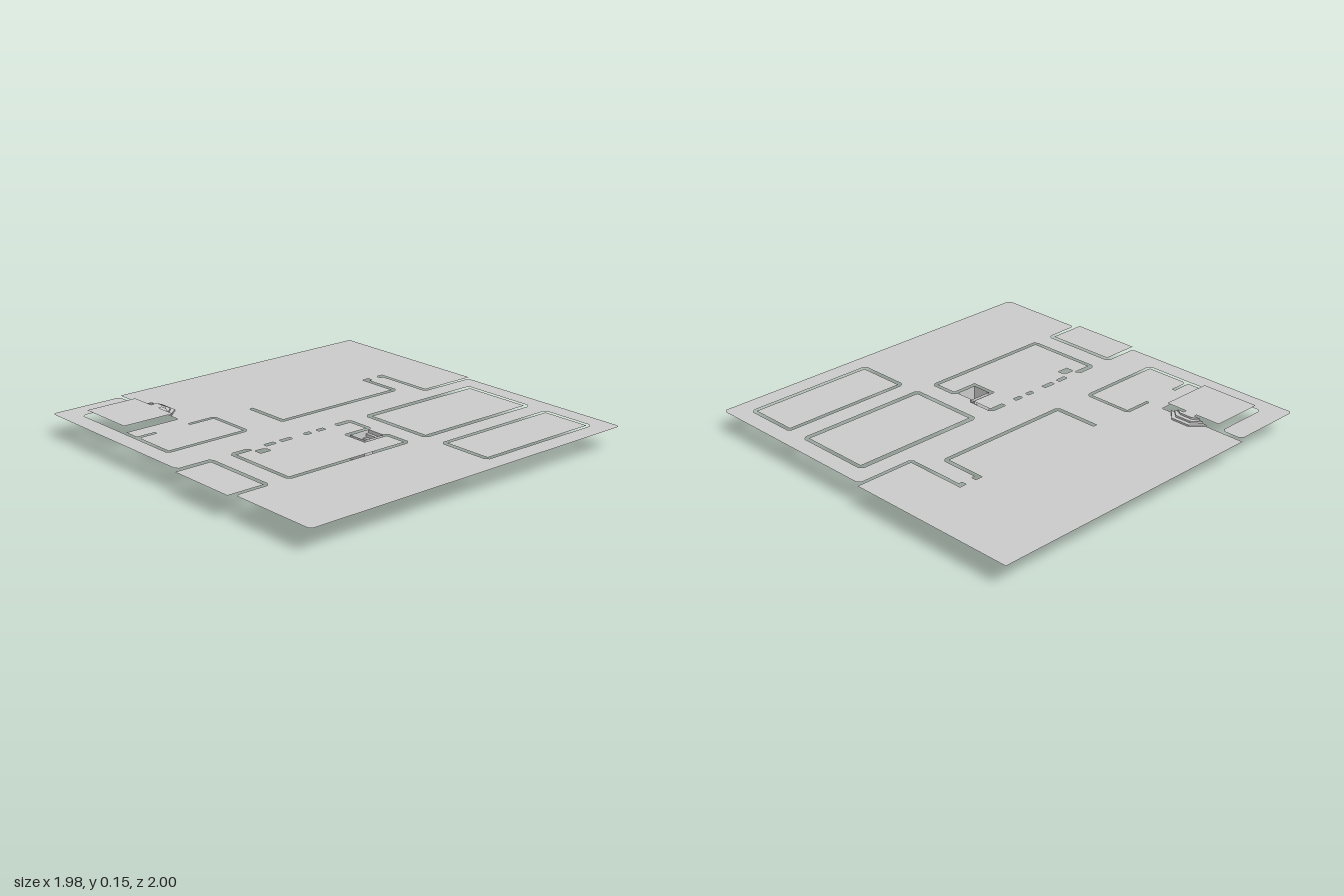
import * as THREE from 'three';

const FLOOR = 0.122, ROOM = 0.15;
const material = new THREE.MeshStandardMaterial({ color: 0xcccccc, side: THREE.DoubleSide, flatShading: true });

const toPoints = (list) => list.map(([x, z]) => new THREE.Vector2(x, -z));
const rect = (x0, z0, x1, z1) => [[x0, z0], [x1, z0], [x1, z1], [x0, z1]];
// rectangle with cut corners
const chamfered = (x0, z0, x1, z1, c = 0.017) => [
  [x0 + c, z0], [x1 - c, z0], [x1, z0 + c], [x1, z1 - c],
  [x1 - c, z1], [x0 + c, z1], [x0, z1 - c], [x0, z0 + c],
];

function add(group, name, geometry) {
  const mesh = new THREE.Mesh(geometry, material);
  mesh.name = name;
  group.add(mesh);
}

// horizontal sheet from x,z outlines
function sheet(outline, y, holes = []) {
  const shape = new THREE.Shape(toPoints(outline));
  shape.holes = holes.map((h) => new THREE.Path(toPoints(h)));
  return new THREE.ShapeGeometry(shape).rotateX(-Math.PI / 2).translate(0, y, 0);
}

// surface from four-cornered faces
function quads(list) {
  const pos = [];
  for (const [a, b, c, d] of list) pos.push(...a, ...b, ...c, ...a, ...c, ...d);
  const g = new THREE.BufferGeometry();
  g.setAttribute('position', new THREE.Float32BufferAttribute(pos, 3));
  g.computeVertexNormals();
  return g;
}

function mainFloor() {
  const outline = [
    // back edge and the wall gap entering from the back
    [-0.992, -1], [-0.05, -1], [-0.05, -0.682], [-0.378, -0.682], [-0.378, -0.645], [-0.352, -0.645],
    [-0.352, -0.665], [-0.05, -0.665], [-0.034, -0.682], [-0.034, -0.963], [-0.018, -0.98],
    // left side and front edge, with the porch recess
    [0.967, -0.98], [0.984, -0.963], [0.984, 0.957], [0.967, 0.973], [0.504, 0.973], [0.487, 0.957],
    [0.487, 0.796], [0.47, 0.78], [0.079, 0.78], [0.062, 0.796], [0.062, 0.957], [0.046, 0.973],
    [-0.955, 0.973], [-0.97, 0.957], [-0.97, 0.595], [-0.955, 0.578], [-0.87, 0.578], [-0.85, 0.598],
    // wall gaps around the two front right rooms
    [-0.85, 0.862], [-0.835, 0.878], [-0.155, 0.878], [-0.138, 0.862], [-0.138, 0.42], [-0.155, 0.403],
    [-0.398, 0.403], [-0.41, 0.415], [-0.41, 0.56], [-0.395, 0.56], [-0.395, 0.418], [-0.155, 0.418],
    [-0.155, 0.86], [-0.378, 0.86], [-0.395, 0.843], [-0.395, 0.757], [-0.41, 0.757], [-0.41, 0.86],
    [-0.498, 0.86], [-0.498, 0.557], [-0.992, 0.557],
  ];
  const courtGap = [
    [-0.378, -0.585], [-0.352, -0.585], [-0.352, -0.565], [-0.152, -0.565], [-0.136, -0.548], [-0.136, 0.183],
    [-0.152, 0.199], [-0.392, 0.199], [-0.392, 0.178], [-0.155, 0.178], [-0.155, -0.546], [-0.378, -0.546],
  ];
  // hall walls, wrapping the stairwell
  const hallGap = [
    [0.062, -0.045], [0.079, -0.061], [0.21, -0.061], [0.225, -0.045], [0.225, -0.037], [0.328, -0.037],
    [0.328, -0.045], [0.343, -0.061], [0.47, -0.061], [0.487, -0.045], [0.487, 0.66], [0.47, 0.676],
    [0.079, 0.676], [0.062, 0.66], [0.062, 0.575], [0.087, 0.56], [0.087, 0.658], [0.468, 0.658],
    [0.468, -0.043], [0.347, -0.043], [0.347, 0.098], [0.205, 0.098], [0.205, -0.043], [0.087, -0.043],
    [0.087, 0.035], [0.062, 0.035],
  ];
  const pillars = [[0.114, 0.157], [0.2, 0.237], [0.318, 0.382], [0.42, 0.476]]
    .map(([a, b]) => rect(0.065, a, 0.087, b));
  const niche = [[0.105, 0.56], [0.105, 0.525], [0.125, 0.5], [0.147, 0.5], [0.147, 0.56]];
  return sheet(outline, FLOOR, [
    courtGap, hallGap, niche, ...pillars,
    chamfered(0.062, -0.886, 0.487, -0.162), chamfered(0.59, -0.886, 0.888, -0.162),
  ]);
}

// sunken staircase descending towards the front, walled on three sides
function stairwell() {
  const g = new THREE.Group();
  g.name = 'stairwell';
  const x0 = 0.225, x1 = 0.328, zBack = -0.037, zFront = 0.08, n = 7;
  const rise = FLOOR / n, run = (zFront - zBack) / n;
  const steps = [], profile = [[zFront, FLOOR], [zBack, FLOOR]];
  for (let i = 0; i < n; i++) {
    const z = zBack + i * run, y = FLOOR - i * rise, low = y - rise;
    steps.push([[x0, low, z], [x1, low, z], [x1, y, z], [x0, y, z]]);
    steps.push([[x0, low, z + run], [x1, low, z + run], [x1, low, z], [x0, low, z]]);
    profile.push([z, low], [z + run, low]);
  }
  add(g, 'stairSteps', quads(steps));
  const side = new THREE.Shape(profile.map(([z, y]) => new THREE.Vector2(-z, y)));
  for (const x of [x0, x1]) {
    add(g, 'stairSideWall', new THREE.ShapeGeometry(side).rotateY(Math.PI / 2).translate(x, 0, 0));
  }
  add(g, 'stairEndWall', quads([[[x0, 0, zFront], [x1, 0, zFront], [x1, FLOOR, zFront], [x0, FLOOR, zFront]]]));
  return g;
}

// three nested trapezoid steps up to the raised room
function entrySteps() {
  const tier = (i) => [
    [-0.773 + 0.02 * i, 0.558], [-0.714 + 0.009 * i, 0.496 + 0.021 * i],
    [-0.608 - 0.009 * i, 0.496 + 0.021 * i], [-0.554 - 0.02 * i, 0.558],
  ];
  const h = (ROOM - FLOOR) / 3, faces = [];
  for (let i = 0; i < 3; i++) {
    const p = tier(i), q = tier(i + 1), y = FLOOR + i * h, top = y + h;
    for (let k = 0; k < 3; k++) {
      const [a, b] = [p[k], p[k + 1]];
      faces.push([[b[0], y, b[1]], [a[0], y, a[1]], [a[0], top, a[1]], [b[0], top, b[1]]]);
      if (i < 2) {
        const [c, d] = [q[k], q[k + 1]];
        faces.push([[a[0], top, a[1]], [c[0], top, c[1]], [d[0], top, d[1]], [b[0], top, b[1]]]);
      }
    }
    if (i === 2) faces.push(p.map(([x, z]) => [x, top, z]).reverse());
  }
  return quads(faces);
}

export function createModel() {
  const model = new THREE.Group();
  model.name = 'floorPlan';
  add(model, 'mainFloor', mainFloor());
  add(model, 'largeRoomFloor', sheet(rect(0.087, -0.867, 0.465, -0.183), FLOOR));
  add(model, 'narrowRoomFloor', sheet(rect(0.608, -0.867, 0.87, -0.183), FLOOR));
  add(model, 'porchFloor', sheet(rect(0.087, 0.8, 0.468, 1), FLOOR));
  // raised room with a doorway tab at the entry steps
  add(model, 'raisedRoomFloor', sheet([
    [-0.833, 0.576], [-0.696, 0.576], [-0.696, 0.558], [-0.632, 0.558], [-0.632, 0.576],
    [-0.514, 0.576], [-0.514, 0.86], [-0.833, 0.86],
  ], ROOM));
  add(model, 'entrySteps', entrySteps());
  model.add(stairwell());
  return model;
}
